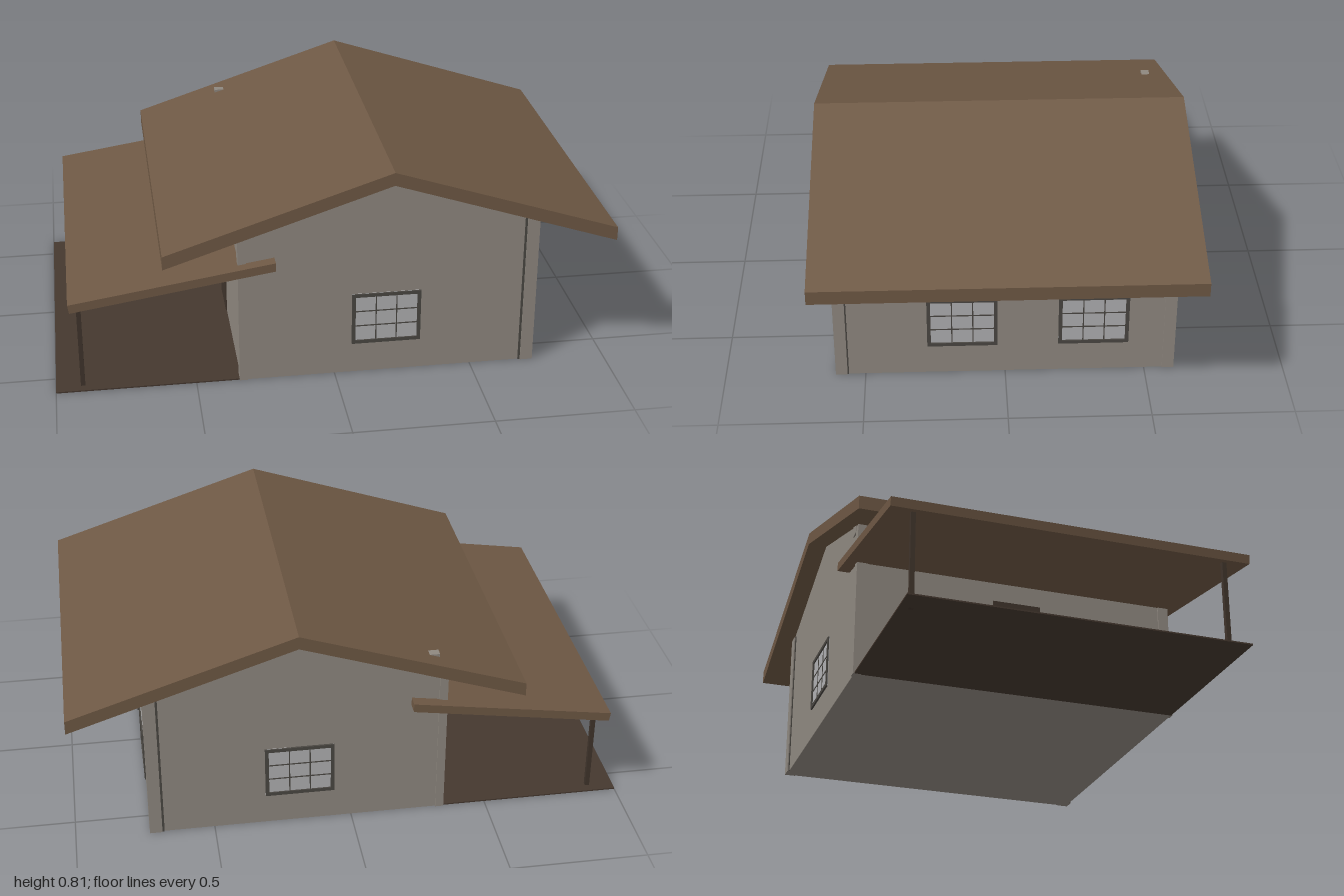
import * as THREE from 'three';

const mat = (color) => new THREE.MeshStandardMaterial({ color });

export function createModel() {
  const house = new THREE.Group();
  const wallMat = mat(0x8f8880), roofMat = mat(0x6e5844), floorMat = mat(0x45382f);
  const frameMat = mat(0x4a4742), glassMat = mat(0xb0b0b2), darkMat = mat(0x3f342b);

  // Box given by its extents along each axis
  function box(name, [x0, x1], [y0, y1], [z0, z1], material, parent = house) {
    const mesh = new THREE.Mesh(new THREE.BoxGeometry(x1 - x0, y1 - y0, z1 - z0), material);
    mesh.position.set((x0 + x1) / 2, (y0 + y1) / 2, (z0 + z1) / 2);
    mesh.name = name;
    parent.add(mesh);
    return mesh;
  }

  // Outline in x and y, extruded evenly to both sides of z = 0
  function slab(name, points, halfDepth, material) {
    const shape = new THREE.Shape(points.map(([x, y]) => new THREE.Vector2(x, y)));
    const geometry = new THREE.ExtrudeGeometry(shape, { depth: halfDepth * 2, bevelEnabled: false });
    geometry.translate(0, 0, -halfDepth);
    const mesh = new THREE.Mesh(geometry, material);
    mesh.name = name;
    house.add(mesh);
  }

  // Gabled body and main roof
  slab('walls', [[-0.34, 0], [0.73, 0], [0.73, 0.589], [0.195, 0.765], [-0.34, 0.589]], 0.6, wallMat);
  slab('mainRoof', [[-0.61, 0.5], [0.195, 0.765], [1, 0.5], [1, 0.55], [0.195, 0.813], [-0.61, 0.55]], 0.67, roofMat);

  // Porch: floor, lean-to roof and posts
  box('porchFloor', [-1, -0.34], [0, 0.005], [-0.6, 0.6], floorMat);
  slab('porchRoof', [[-0.935, 0.343], [-0.215, 0.453], [-0.215, 0.485], [-0.94, 0.375]], 0.645, roofMat);
  for (const z of [-0.56, 0.56]) {
    box('porchPost', [-0.912, -0.896], [0, 0.36], [z - 0.008, z + 0.008], darkMat);
  }

  // Corner boards with a dark joint beside each right-hand one
  for (const s of [-1, 1]) {
    const span = (a, b) => (s > 0 ? [a, b] : [-b, -a]);
    box('cornerPost', [0.69, 0.735], [0, 0.588], span(0.565, 0.607), wallMat);
    box('cornerJoint', [0.682, 0.69], [0, 0.59], span(0.59, 0.603), frameMat);
    box('cornerPost', [-0.345, -0.315], [0, 0.588], span(0.565, 0.605), wallMat);
  }
  box('sideJoint', [0.72, 0.733], [0, 0.585], [0.56, 0.567], frameMat);

  // Small stub rising through the roof
  box('roofStub', [-0.31, -0.27], [0.57, 0.66], [-0.605, -0.575], wallMat);

  // Framed window with three by three panes, facing +z before turning
  function addWindow(x, z, angle) {
    const w = 0.25, h = 0.2, t = 0.013;
    const win = new THREE.Group();
    win.name = 'window';
    box('glass', [-w / 2, w / 2], [-h / 2, h / 2], [-0.005, 0.002], glassMat, win);
    for (const s of [-1, 1]) {
      const cx = s * (w - t) / 2, cy = s * (h - t) / 2;
      box('frameSide', [cx - t / 2, cx + t / 2], [-h / 2, h / 2], [-0.005, 0.007], frameMat, win);
      box('frameRail', [-w / 2 + t, w / 2 - t], [cy - t / 2, cy + t / 2], [-0.005, 0.007], frameMat, win);
      const mx = s * (w / 2 - t) / 3, my = s * (h / 2 - t) / 3;
      box('uprightBar', [mx - 0.002, mx + 0.002], [-h / 2, h / 2], [-0.005, 0.004], frameMat, win);
      box('crossBar', [-w / 2, w / 2], [my - 0.002, my + 0.002], [-0.005, 0.004], frameMat, win);
    }
    win.position.set(x, 0.218, z);
    win.rotation.y = angle;
    house.add(win);
  }
  addWindow(0.187, 0.6, 0);
  addWindow(0.187, -0.6, Math.PI);
  addWindow(0.73, 0.152, Math.PI / 2);
  addWindow(0.73, -0.314, Math.PI / 2);

  // Door under the porch
  box('door', [-0.344, -0.335], [0.005, 0.36], [-0.09, 0.09], darkMat);
  const knob = new THREE.Mesh(new THREE.SphereGeometry(0.006, 10, 8), frameMat);
  knob.position.set(-0.346, 0.16, 0.07);
  knob.name = 'doorKnob';
  house.add(knob);

  return house;
}
